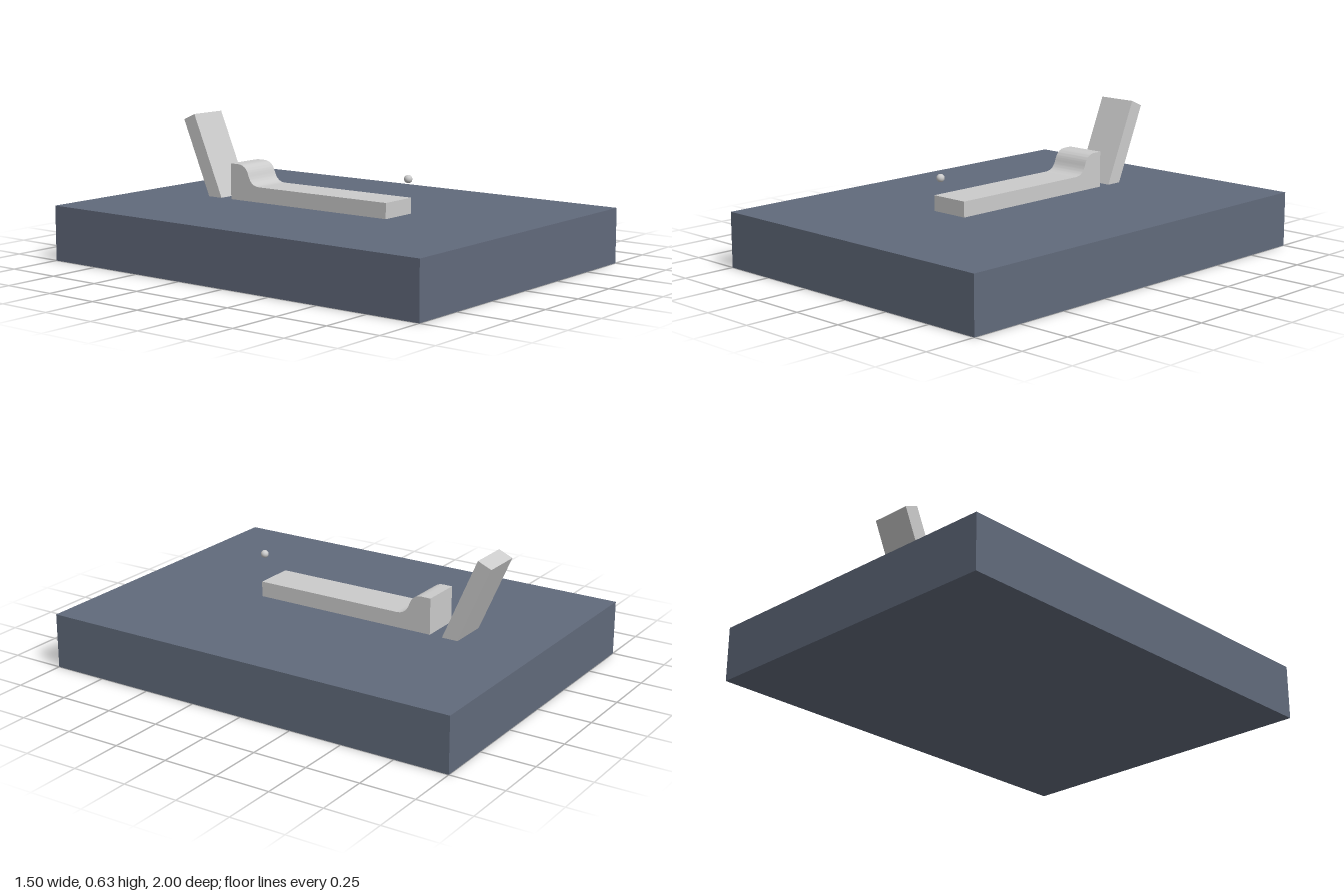
import * as THREE from 'three';
import { toCreasedNormals } from 'three/addons/utils/BufferGeometryUtils.js';

const grey = new THREE.MeshStandardMaterial({ color: 0xcccccc });
const slate = new THREE.MeshStandardMaterial({ color: 0x616a7b });

// shared lane of the ramp, board and ball
const laneX = -0.0325, laneWidth = 0.185, baseTop = 0.25;

function addMesh(group, name, geometry, material = grey) {
  const mesh = new THREE.Mesh(geometry, material);
  mesh.name = name;
  group.add(mesh);
  return mesh;
}

// side profile drawn as (-z, y), extruded across the lane
function laneExtrusion(shape) {
  const geo = new THREE.ExtrudeGeometry(shape, { depth: laneWidth, bevelEnabled: false, curveSegments: 16 });
  geo.rotateY(Math.PI / 2);
  geo.translate(laneX - laneWidth / 2, 0, 0);
  return toCreasedNormals(geo, Math.PI / 6);
}

export function createModel() {
  const model = new THREE.Group();
  model.name = 'rampModel';

  // slab
  addMesh(model, 'base', new THREE.BoxGeometry(1.5, baseTop, 2), slate).position.y = baseTop / 2;

  // flat track rising through an S-curve to a raised step
  const profile = new THREE.Shape();
  profile.moveTo(-0.375, baseTop);
  profile.lineTo(0.505, baseTop);
  profile.lineTo(0.505, 0.415);
  profile.lineTo(0.465, 0.415);
  profile.bezierCurveTo(0.425, 0.415, 0.41, 0.395, 0.4, 0.367);
  profile.bezierCurveTo(0.39, 0.34, 0.375, 0.32, 0.335, 0.32);
  profile.lineTo(-0.375, 0.32);
  profile.closePath();
  addMesh(model, 'track', laneExtrusion(profile));

  // backboard leaning away from the track, lower edge set into the slab
  const lean = 0.41, length = 0.41, thickness = 0.07;
  const boardGeo = new THREE.BoxGeometry(laneWidth, length, thickness);
  boardGeo.translate(0, length / 2, -thickness / 2);
  const board = addMesh(model, 'backboard', boardGeo);
  board.position.set(laneX, baseTop, -0.565);
  board.rotation.x = -lean;

  // small ball hovering beyond the front end of the track
  addMesh(model, 'ball', new THREE.SphereGeometry(0.018, 24, 16)).position.set(laneX, 0.417, 0.425);

  return model;
}
